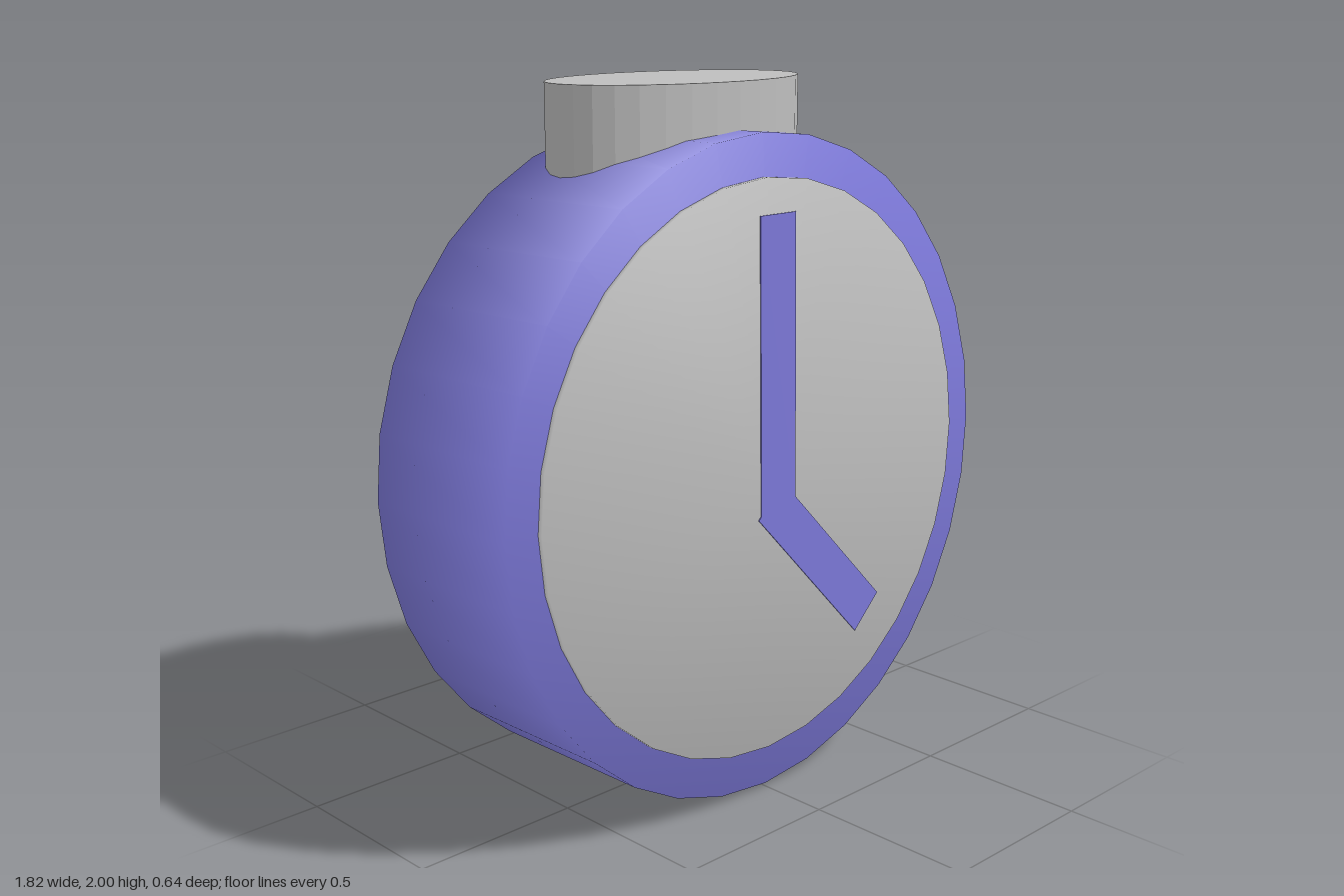
import * as THREE from 'three';
import { mergeVertices } from 'three/addons/utils/BufferGeometryUtils.js';

const TILT = -0.0175;
const SIDES = 32;

// Disc facing +z whose normals are shared between the faces and the rim.
function softDisc(rx, ry, depth, bulge) {
  let geo = new THREE.CylinderGeometry(1, 1, depth, SIDES);
  geo.rotateX(Math.PI / 2);
  geo.deleteAttribute('normal');
  geo.deleteAttribute('uv');
  geo = mergeVertices(geo, 1e-4);
  const pos = geo.attributes.position;
  const normals = new THREE.Float32BufferAttribute(new Float32Array(pos.count * 3), 3);
  const n = new THREE.Vector3();
  for (let i = 0; i < pos.count; i++) {
    n.set(pos.getX(i) * bulge, pos.getY(i) * bulge, Math.sign(pos.getZ(i))).normalize();
    normals.setXYZ(i, n.x, n.y, n.z);
  }
  geo.setAttribute('normal', normals);
  geo.scale(rx, ry, 1);
  return geo;
}

export function createModel() {
  const blue = new THREE.MeshStandardMaterial({ color: 0x7c78d8 });
  blue.name = 'periwinkle blue';
  const grey = new THREE.MeshStandardMaterial({ color: 0xbebebe });
  grey.name = 'light grey';

  const model = new THREE.Group();
  model.name = 'pocketClock';

  const add = (parent, name, geo, mat, x = 0, y = 0, z = 0) => {
    const mesh = new THREE.Mesh(geo, mat);
    mesh.name = name;
    mesh.position.set(x, y, z);
    parent.add(mesh);
    return mesh;
  };

  // Slightly tilted clock: case, dial and hands
  const clock = new THREE.Group();
  clock.name = 'clock';
  clock.position.set(0, 0.938, 0.008);
  clock.rotation.x = TILT;
  model.add(clock);

  add(clock, 'case', softDisc(0.91, 0.93, 0.535, 0.4), blue);
  add(clock, 'dial', softDisc(0.807, 0.812, 0.03, 0.25), grey, 0, 0, 0.267);

  // Both hands as one bent thin plate
  const outline = [
    [-0.03, 1.65], [-0.03, 0.82], [-0.04, 0.81], [0.37, 0.38],
    [0.47, 0.475], [0.108, 0.85], [0.108, 1.65],
  ].map(([x, y]) => new THREE.Vector2(x, y - 0.938));
  const hands = new THREE.ExtrudeGeometry(new THREE.Shape(outline), { depth: 0.005, bevelEnabled: false });
  add(clock, 'hands', hands, blue, 0, 0, 0.28);

  // Upright oval crown on top, set towards the back, with faceted sides
  let crown = new THREE.CylinderGeometry(1, 1, 0.262, SIDES);
  crown.scale(0.418, 1, 0.252);
  crown = crown.toNonIndexed();
  crown.computeVertexNormals();
  add(model, 'crown', crown, grey, 0, 1.869, -0.079);

  return model;
}
